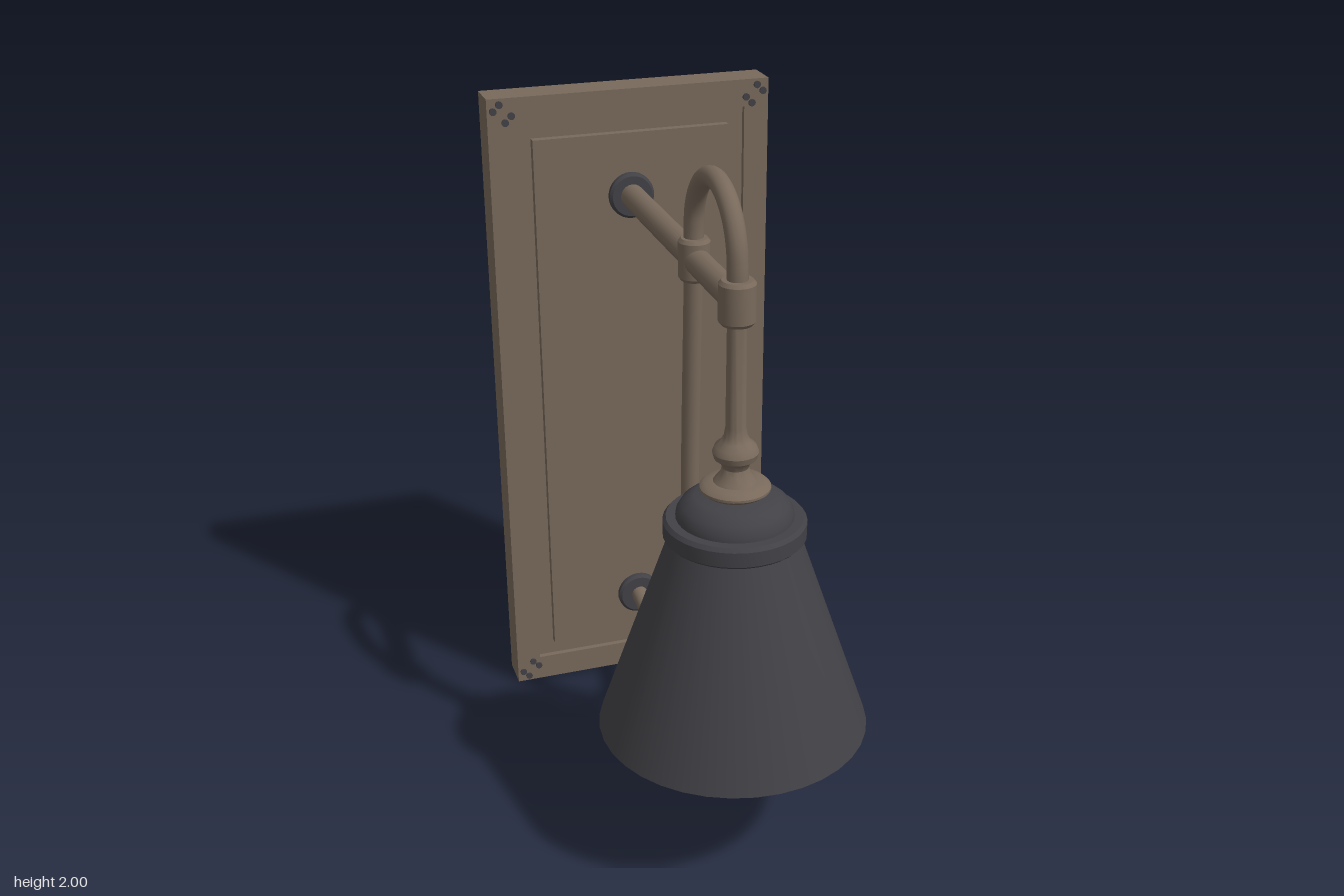
import * as THREE from 'three';
import { toCreasedNormals } from 'three/addons/utils/BufferGeometryUtils.js';

const bronze = new THREE.MeshStandardMaterial({ color: 0x78695b });
bronze.name = 'bronze';
const charcoal = new THREE.MeshStandardMaterial({ color: 0x424146 });
charcoal.name = 'charcoal';
const glass = new THREE.MeshStandardMaterial({ color: 0xe6e6e4 });
glass.name = 'white glass';

const X = -0.008;     // lamp axis
const SHADE_Z = 0.35; // centre of the shade

export function createModel() {
  const model = new THREE.Group();
  model.name = 'wallLamp';

  const add = (name, geometry, material, x = 0, y = 0, z = 0, parent = model) => {
    const mesh = new THREE.Mesh(geometry, material);
    mesh.name = name;
    mesh.position.set(x, y, z);
    parent.add(mesh);
    return mesh;
  };
  const lathe = (points, segments = 32) => toCreasedNormals(
    new THREE.LatheGeometry(points.map(p => new THREE.Vector2(...p)), segments), 0.6);
  const tube = (curve, radius, segments) => new THREE.TubeGeometry(curve, segments, radius, 16);
  // Path in the side plane, given as [z, y]
  const sidePoints = list => list.map(([z, y]) => new THREE.Vector3(X, y, z));

  // Mitred frame: four trapezoid rails
  const frame = new THREE.Group();
  frame.name = 'frame';
  model.add(frame);
  const W = 0.435, w = 0.358;
  const corners = [[-1, -1], [1, -1], [1, 1], [-1, 1]];
  const outer = corners.map(([sx, sy]) => new THREE.Vector2(sx * W, 1 + sy));
  const inner = corners.map(([sx, sy]) => new THREE.Vector2(sx * w, 1 + sy * 0.917));
  for (let i = 0; i < 4; i++) {
    const j = (i + 1) % 4;
    const rail = new THREE.Shape([outer[i], outer[j], inner[j], inner[i]]);
    add('frameRail', new THREE.ExtrudeGeometry(rail, { depth: 0.11, bevelEnabled: false }),
      bronze, 0, 0, -0.735, frame);
  }

  // Recessed board and the raised field on its front
  add('backBoard', new THREE.BoxGeometry(2 * w, 1.834, 0.065), bronze, 0, 1, -0.675);
  add('raisedPanel', new THREE.BoxGeometry(0.61, 1.735, 0.03), bronze, 0, 1.003, -0.632);

  // Four studs at every corner of the frame
  const studs = new THREE.Group();
  studs.name = 'cornerStuds';
  model.add(studs);
  const studGeometry = new THREE.CylinderGeometry(0.011, 0.011, 0.008, 12).rotateX(Math.PI / 2);
  for (const [sx, sy] of corners) {
    for (const [dx, dy] of [[0.027, 0.008], [0.008, 0.027], [-0.027, -0.008], [-0.008, -0.027]]) {
      add('stud', studGeometry, charcoal,
        sx * (0.39 + dx), 1 + sy * (0.955 + dy), -0.623, studs);
    }
  }

  // Wall rosettes
  for (const [name, y] of [['upperRosette', 1.68], ['lowerRosette', 0.285]]) {
    const rosette = lathe([[0, 0], [0.07, 0], [0.07, 0.016], [0.062, 0.023], [0, 0.023]]);
    add(name, rosette.rotateX(Math.PI / 2), charcoal, X, y, -0.619);
  }

  // Straight arm from the wall to the shade stem
  add('arm', new THREE.CylinderGeometry(0.037, 0.037, 0.96, 20).rotateX(Math.PI / 2),
    bronze, X, 1.68, -0.13);

  // Sleeves where the tubes cross the arm
  const sleeve = r => lathe([[0, 0], [r - 0.008, 0], [r, 0.01], [r, 0.11], [r - 0.008, 0.12], [0, 0.12]], 24);
  add('frontSleeve', sleeve(0.05), bronze, X, 1.62, SHADE_Z);
  add('rearSleeve', sleeve(0.045), bronze, X, 1.62, 0);

  // Arch above the arm
  const archPoints = [[SHADE_Z, 1.68]];
  for (let i = 0; i <= 10; i++) {
    const a = Math.PI * i / 10;
    archPoints.push([0.173 + 0.177 * Math.cos(a), 1.77 + 0.182 * Math.sin(a)]);
  }
  archPoints.push([-0.004, 1.68]);
  add('arch', tube(new THREE.CatmullRomCurve3(sidePoints(archPoints)), 0.028, 48), bronze);

  // Long tube sweeping down and back to the wall
  const sweep = new THREE.CatmullRomCurve3(sidePoints([
    [-0.004, 1.68], [-0.017, 1.45], [-0.035, 1.13], [-0.047, 0.85], [-0.071, 0.62],
    [-0.12, 0.47], [-0.205, 0.35], [-0.31, 0.28], [-0.42, 0.263], [-0.52, 0.273], [-0.61, 0.288],
  ]));
  add('sweepTube', tube(sweep, 0.027, 64), bronze);

  // Turned stem holding the shade
  add('stem', lathe([
    [0, 1.12], [0.06, 1.12], [0.06, 1.137], [0.085, 1.14], [0.097, 1.15], [0.097, 1.157],
    [0.085, 1.168], [0.06, 1.172], [0.056, 1.178], [0.042, 1.195], [0.036, 1.212],
    [0.042, 1.228], [0.058, 1.24], [0.063, 1.258], [0.056, 1.276], [0.04, 1.29],
    [0.032, 1.305], [0.028, 1.33], [0.026, 1.63], [0, 1.63],
  ]), bronze, X, 0, SHADE_Z);

  // Conical shade with rolled collar and domed cap, hollow inside
  add('shade', lathe([
    [0, 1.1], [0.11, 1.1], [0.165, 1.02], [0.376, 0.408], [0.385, 0.408], [0.18, 1.005],
    [0.19, 1.005], [0.197, 1.012], [0.197, 1.055], [0.188, 1.066], [0.162, 1.066],
    [0.16, 1.083], [0.147, 1.105], [0.126, 1.122], [0.11, 1.13], [0, 1.13],
  ], 36), charcoal, X, 0, SHADE_Z);

  // Socket and bulb
  add('socket', new THREE.CylinderGeometry(0.06, 0.06, 0.26, 20), bronze, X, 0.98, SHADE_Z);
  add('bulb', lathe([
    [0, 0.45], [0.055, 0.46], [0.105, 0.488], [0.142, 0.535], [0.158, 0.595], [0.15, 0.66],
    [0.125, 0.72], [0.09, 0.785], [0.062, 0.84], [0.055, 0.88], [0, 0.88],
  ]), glass, X, 0, SHADE_Z);

  return model;
}
